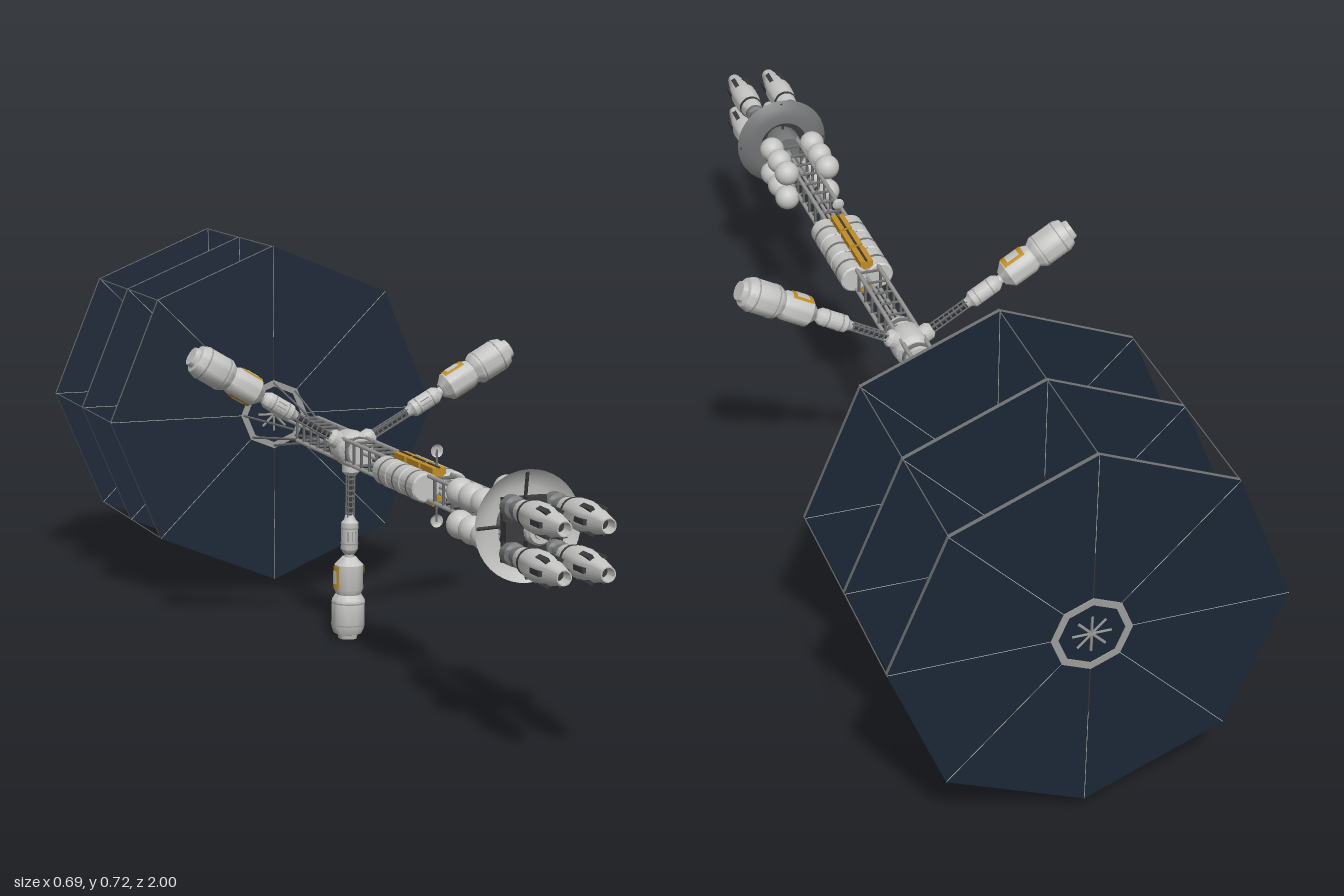
import * as THREE from 'three';
import { mergeGeometries, toCreasedNormals } from 'three/addons/utils/BufferGeometryUtils.js';

const mat = (name, color, side = THREE.FrontSide) => {
  const m = new THREE.MeshStandardMaterial({ color, side });
  m.name = name;
  return m;
};

export function createModel() {
  const hull = mat('light grey hull', 0xc4c4c2);
  const dishGrey = mat('dish grey', 0xbdbdbb, THREE.DoubleSide);
  const grey = mat('mid grey', 0x9c9c9a);
  const strut = mat('strut grey', 0x727374);
  const dark = mat('dark machinery', 0x3a3b3d);
  const navy = mat('radiator navy', 0x1b2736);
  const gold = mat('gold foil', 0xc08d22);

  const ship = new THREE.Group();
  ship.name = 'spacecraft';
  ship.position.y = 0.371;

  const V = (x, y, z) => new THREE.Vector3(x, y, z);
  const polar = (r, a, z) => V(r * Math.cos(a), r * Math.sin(a), z);
  const add = (parent, name, geo, material, x = 0, y = 0, z = 0) => {
    const m = new THREE.Mesh(geo, material);
    m.name = name;
    m.position.set(x, y, z);
    parent.add(m);
    return m;
  };
  // Turned part: profile of [radius, height] pairs; alongZ lays it on the ship's axis
  const turned = (pts, alongZ = true, seg = 20) => {
    const g = new THREE.LatheGeometry(pts.map(p => new THREE.Vector2(p[0], p[1])), seg);
    if (alongZ) g.rotateX(Math.PI / 2);
    return toCreasedNormals(g, 0.6);
  };
  // Many straight bars merged in one mesh
  const bars = (parent, name, list, r, material, sides = 4) => {
    const geos = list.map(([a, b]) => {
      const d = b.clone().sub(a);
      const g = new THREE.CylinderGeometry(r, r, d.length(), sides);
      g.applyQuaternion(new THREE.Quaternion().setFromUnitVectors(V(0, 1, 0), d.normalize()));
      const c = a.clone().add(b).multiplyScalar(0.5);
      return g.translate(c.x, c.y, c.z);
    });
    return add(parent, name, mergeGeometries(geos), material);
  };

  // Square lattice truss along the spine
  const w = 0.022, z0 = -0.33, z1 = 0.74, bays = 26;
  const corner = (i, z) => V([w, -w, -w, w][i % 4], [w, w, -w, -w][i % 4], z);
  const longerons = [], battens = [];
  for (let i = 0; i < 4; i++) {
    longerons.push([corner(i, z0), corner(i, z1)]);
    for (let k = 0; k <= bays; k++) {
      const z = z0 + (z1 - z0) * k / bays;
      battens.push([corner(i, z), corner(i + 1, z)]);
    }
  }
  bars(ship, 'spineLongerons', longerons, 0.0042, grey, 6);
  bars(ship, 'spineBattens', battens, 0.003, strut);
  bars(ship, 'spineCore', [[V(0, 0, -0.99), V(0, 0, 0.75)]], 0.0035, grey, 8);

  // Three octagonal radiator panels with rims, collars, ribs and cone struts
  const plates = [-0.546, -0.77, -0.994], R = 0.347;
  plates.forEach((z, n) => {
    const panel = new THREE.CylinderGeometry(R, R, 0.008, 8).rotateX(Math.PI / 2);
    add(ship, 'radiatorPanel', toCreasedNormals(panel, 0.3), [strut, navy, navy], 0, 0, z);
    add(ship, 'radiatorCollar', turned([[0.058, -0.006], [0.071, -0.006], [0.071, 0.006],
      [0.058, 0.006], [0.058, -0.006]], true, 8), grey, 0, 0, z);
    const ribs = [], cone = [], star = [], spars = [];
    for (const s of [-1, 1]) {
      const face = z + s * 0.004;
      for (let i = 0; i < 8; i++) {
        const a = i * Math.PI / 4;
        ribs.push([polar(0.07, a, face), polar(R, a, face)]);
        star.push([polar(0, a, face), polar(0.034, a, face)]);
      }
      for (const v of [-1, 1]) spars.push([V(0, v * 0.072, face), V(0, v * 0.16, face)]);
    }
    for (let i = 0; i < 8; i++) {
      const a = i * Math.PI / 4;
      cone.push([polar(n === 0 ? 0.028 : 0.018, a, n === 0 ? z0 : plates[n - 1]), polar(0.066, a, z)]);
    }
    bars(ship, 'radiatorRibs', ribs, 0.0006, hull);
    bars(ship, 'radiatorSpars', spars, 0.0016, dark);
    bars(ship, 'coneStruts', cone, 0.0026, strut);
    bars(ship, 'radiatorHubStar', star, 0.0026, grey);
  });
  const ties = [];
  for (let i = 0; i < 8; i++) {
    const a = i * Math.PI / 4;
    ties.push([polar(R - 0.001, a, plates[0]), polar(R - 0.001, a, plates[2])]);
  }
  bars(ship, 'radiatorTieRods', ties, 0.0012, strut);

  // Rotating hub
  const hub = new THREE.Group();
  hub.name = 'rotatingHub';
  hub.position.z = -0.077;
  ship.add(hub);
  add(hub, 'hubDrum', turned([[0, -0.06], [0.026, -0.06], [0.026, -0.035], [0.034, -0.025],
    [0.036, 0], [0.034, 0.025], [0.026, 0.035], [0.026, 0.06], [0, 0.06]]), hull);
  for (const s of [-1, 1]) {
    const band = new THREE.CylinderGeometry(0.029, 0.029, 0.008, 20).rotateX(Math.PI / 2);
    add(hub, 'hubBand', band, strut, 0, 0, s * 0.047);
  }

  // Three habitat arms
  [28.8, 148.8, 268.8].forEach(deg => {
    const arm = new THREE.Group();
    arm.name = 'habitatArm';
    arm.rotation.z = THREE.MathUtils.degToRad(deg - 90);
    hub.add(arm);
    add(arm, 'armSocket', turned([[0.017, 0.02], [0.017, 0.045], [0.011, 0.052], [0, 0.052]], false), hull);
    const lattice = [], t = 0.006;
    for (let i = 0; i < 4; i++) {
      const p = (j, y) => V([t, -t, -t, t][j % 4], y, [t, t, -t, -t][j % 4]);
      lattice.push([p(i, 0.04), p(i, 0.138)]);
      for (let y = 0.06; y < 0.137; y += 0.011) lattice.push([p(i, y), p(i + 1, y)]);
    }
    bars(arm, 'armLattice', lattice, 0.0018, strut);
    add(arm, 'armTunnel', new THREE.CylinderGeometry(0.004, 0.004, 0.1, 8), dark, 0, 0.09, 0);
    add(arm, 'innerModule', turned([[0, 0.13], [0.009, 0.13], [0.011, 0.138], [0.0165, 0.144], [0.0165, 0.196],
      [0.011, 0.205], [0.009, 0.206], [0.009, 0.214], [0, 0.214]], false), hull);
    add(arm, 'middleModule', turned([[0, 0.211], [0.014, 0.211], [0.019, 0.217], [0.028, 0.226], [0.028, 0.274],
      [0.022, 0.287], [0, 0.287]], false, 24), hull);
    add(arm, 'outerModule', turned([[0, 0.284], [0.025, 0.284], [0.032, 0.295], [0.032, 0.348], [0.027, 0.36],
      [0.02, 0.362], [0.018, 0.371], [0, 0.371]], false, 24), hull);
    for (const [r, y] of [[0.0172, 0.155], [0.0172, 0.185], [0.0327, 0.3], [0.0327, 0.343]])
      add(arm, 'moduleBand', new THREE.CylinderGeometry(r, r, 0.0025, 24), grey, 0, y, 0);
    // Gold-framed side hatches
    for (const s of [-1, 1]) {
      const patch = (r, h, half) =>
        new THREE.CylinderGeometry(r, r, h, 8, 1, true, s * Math.PI / 2 - half, half * 2);
      add(arm, 'hatchFrame', patch(0.0298, 0.044, 0.55), gold, 0, 0.25, 0);
      add(arm, 'hatchPanel', patch(0.0305, 0.026, 0.34), hull, 0, 0.25, 0);
    }
    for (let i = -1; i <= 1; i++)
      add(arm, 'innerVent', new THREE.BoxGeometry(0.002, 0.02, 0.002), grey, i * 0.008, 0.17, Math.sqrt(0.0165 ** 2 - (i * 0.008) ** 2));
  });

  // Service section: twin tanks, gold foil and antenna masts
  for (const s of [-1, 1]) {
    [0.212, 0.28, 0.348].forEach(z => {
      add(ship, 'serviceTank', turned([[0, -0.034], [0.024, -0.034], [0.027, -0.031], [0.027, 0.031],
        [0.024, 0.034], [0, 0.034]]), hull, s * 0.026, 0, z);
      const band = new THREE.CylinderGeometry(0.0276, 0.0276, 0.006, 20).rotateX(Math.PI / 2);
      add(ship, 'tankBand', band, strut, s * 0.026, 0, z);
      add(ship, 'foilCover', new THREE.BoxGeometry(0.026, 0.016, 0.058), gold, 0, s * 0.026, z);
      add(ship, 'foilSeam', new THREE.BoxGeometry(0.004, 0.003, 0.058), dark, 0, s * 0.0345, z);
    });
    // Mast with a small dish at its tip
    bars(ship, 'antennaMast', [[V(0, s * 0.025, 0.365), V(0, s * 0.065, 0.365)]], 0.002, strut, 6);
    const dish = turned([[0, 0], [0.007, 0.002], [0.012, 0.006]], true, 14);
    add(ship, 'antennaDish', dish, dishGrey, 0, s * 0.063, 0.36);
  }

  // Spherical propellant tanks
  const ball = new THREE.SphereGeometry(0.025, 20, 14);
  for (const z of [0.582, 0.636, 0.69])
    for (const x of [-1, 1]) for (const y of [-1, 1]) {
      add(ship, 'propellantSphere', ball, hull, x * 0.043, y * 0.028, z);
      bars(ship, 'sphereMount', [[V(x * 0.018, y * 0.018, z), V(x * 0.043, y * 0.028, z)]], 0.004, dark);
    }

  // Shallow ring shield: pale front, darker back, with spokes
  const rim = [[0.05, 0.752], [0.066, 0.753], [0.082, 0.758], [0.095, 0.769]];
  add(ship, 'shieldBack', turned(rim, true, 40), strut);
  add(ship, 'shieldFront', turned(rim.map(([r, z]) => [r, z + 0.001]).reverse(), true, 40), hull);
  const spokes = [];
  for (let i = 0; i < 4; i++) spokes.push([polar(0.03, i * Math.PI / 2, 0.755), polar(0.09, i * Math.PI / 2, 0.766)]);
  bars(ship, 'shieldSpokes', spokes, 0.003, dark, 6);

  // Engine thrust block
  add(ship, 'thrustBlock', turned([[0, 0.72], [0.03, 0.72], [0.036, 0.735], [0.036, 0.765], [0.03, 0.78], [0, 0.78]]), strut);
  add(ship, 'thrustFrame', new THREE.BoxGeometry(0.11, 0.034, 0.022), dark, 0, 0, 0.795);
  add(ship, 'thrustFrame', new THREE.BoxGeometry(0.034, 0.11, 0.022), dark, 0, 0, 0.795);
  add(ship, 'thrustPlate', new THREE.BoxGeometry(0.108, 0.108, 0.008), dark, 0, 0, 0.785);
  add(ship, 'dockingCap', turned([[0.024, 0.8], [0.024, 0.818], [0.02, 0.824], [0.013, 0.824], [0.013, 0.83], [0, 0.83]]), hull);

  // Four engines
  for (const x of [-1, 1]) for (const y of [-1, 1]) {
    const e = new THREE.Group();
    e.name = 'engine';
    e.position.set(x * 0.038, y * 0.039, 0);
    ship.add(e);
    add(e, 'engineNeck', turned([[0, 0.785], [0.02, 0.785], [0.02, 0.806], [0.014, 0.81], [0.014, 0.825],
      [0.019, 0.828], [0.019, 0.85], [0, 0.85]]), strut);
    add(e, 'engineBody', turned([[0.012, 0.835], [0.019, 0.838], [0.022, 0.865], [0.026, 0.885], [0.027, 0.915],
      [0.025, 0.94], [0.019, 0.968], [0.013, 1.0], [0.011, 1.0], [0.009, 0.975], [0, 0.975]], true, 24), hull);
    add(e, 'nozzleThroat', new THREE.CircleGeometry(0.0092, 20), dark, 0, 0, 0.9765);
    const band = new THREE.CylinderGeometry(0.0235, 0.0235, 0.006, 20).rotateX(Math.PI / 2);
    add(e, 'engineBand', band, dark, 0, 0, 0.866);
    // Dark fins around the taper
    for (let i = 0; i < 6; i++) {
      const a = i * Math.PI / 3;
      const fin = add(e, 'engineFin', new THREE.BoxGeometry(0.008, 0.009, 0.036), dark, 0.0225 * Math.cos(a), 0.0225 * Math.sin(a), 0.942);
      fin.rotation.z = a;
    }
  }
  return ship;
}
